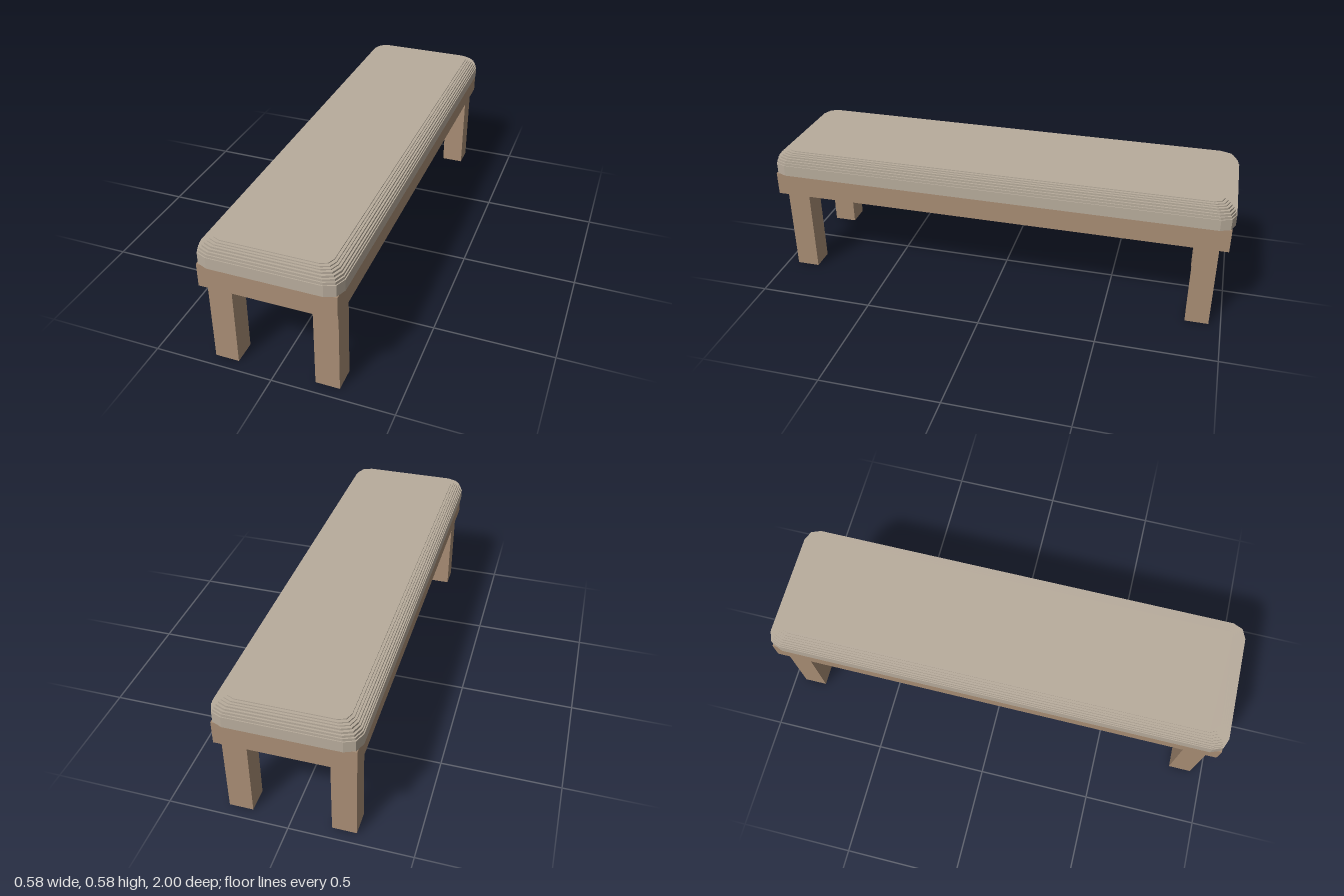
import * as THREE from 'three';

const wood = new THREE.MeshStandardMaterial({ name: 'wood', color: 0xa88d74 });
const fabric = new THREE.MeshStandardMaterial({ name: 'fabric', color: 0xb8ac9c });

function box(name, size, pos) {
  const mesh = new THREE.Mesh(new THREE.BoxGeometry(...size), wood);
  mesh.name = name;
  mesh.position.set(...pos);
  return mesh;
}

// Rectangle with rounded corners, each made of two facets
function roundedRect(w, l, r) {
  const s = new THREE.Shape();
  s.absarc(w - r, l - r, r, 0, Math.PI / 2);
  s.absarc(-w + r, l - r, r, Math.PI / 2, Math.PI);
  s.absarc(-w + r, -l + r, r, Math.PI, Math.PI * 1.5);
  s.absarc(w - r, -l + r, r, Math.PI * 1.5, Math.PI * 2);
  s.closePath();
  return s;
}

export function createModel() {
  const bench = new THREE.Group();
  bench.name = 'bench';

  // Seat frame
  bench.add(box('seatFrame', [0.552, 0.1, 1.976], [0, 0.426, 0]));

  // Four square legs
  for (const x of [-1, 1]) {
    for (const z of [-1, 1]) {
      const name = (z > 0 ? 'front' : 'back') + (x > 0 ? 'Left' : 'Right') + 'Leg';
      bench.add(box(name, [0.1, 0.376, 0.1], [x * 0.213, 0.188, z * 0.9]));
    }
  }

  // Cushion: stacked layers stepping in towards the top [inset, top height]
  const cushion = new THREE.Group();
  cushion.name = 'cushion';
  const layers = [
    [0, 0.524], [0.004, 0.535], [0.009, 0.545], [0.016, 0.554],
    [0.024, 0.562], [0.033, 0.567], [0.042, 0.572], [0.053, 0.576],
  ];
  let bottom = 0.476;
  layers.forEach(([inset, top], i) => {
    const shape = roundedRect(0.288 - inset, 1 - inset, 0.06 - inset * 0.35);
    const geo = new THREE.ExtrudeGeometry(shape, { depth: top - bottom, bevelEnabled: false, curveSegments: 1 });
    geo.rotateX(-Math.PI / 2);
    const mesh = new THREE.Mesh(geo, fabric);
    mesh.name = 'cushionLayer' + (i + 1);
    mesh.position.y = bottom;
    cushion.add(mesh);
    bottom = top;
  });
  bench.add(cushion);

  return bench;
}
